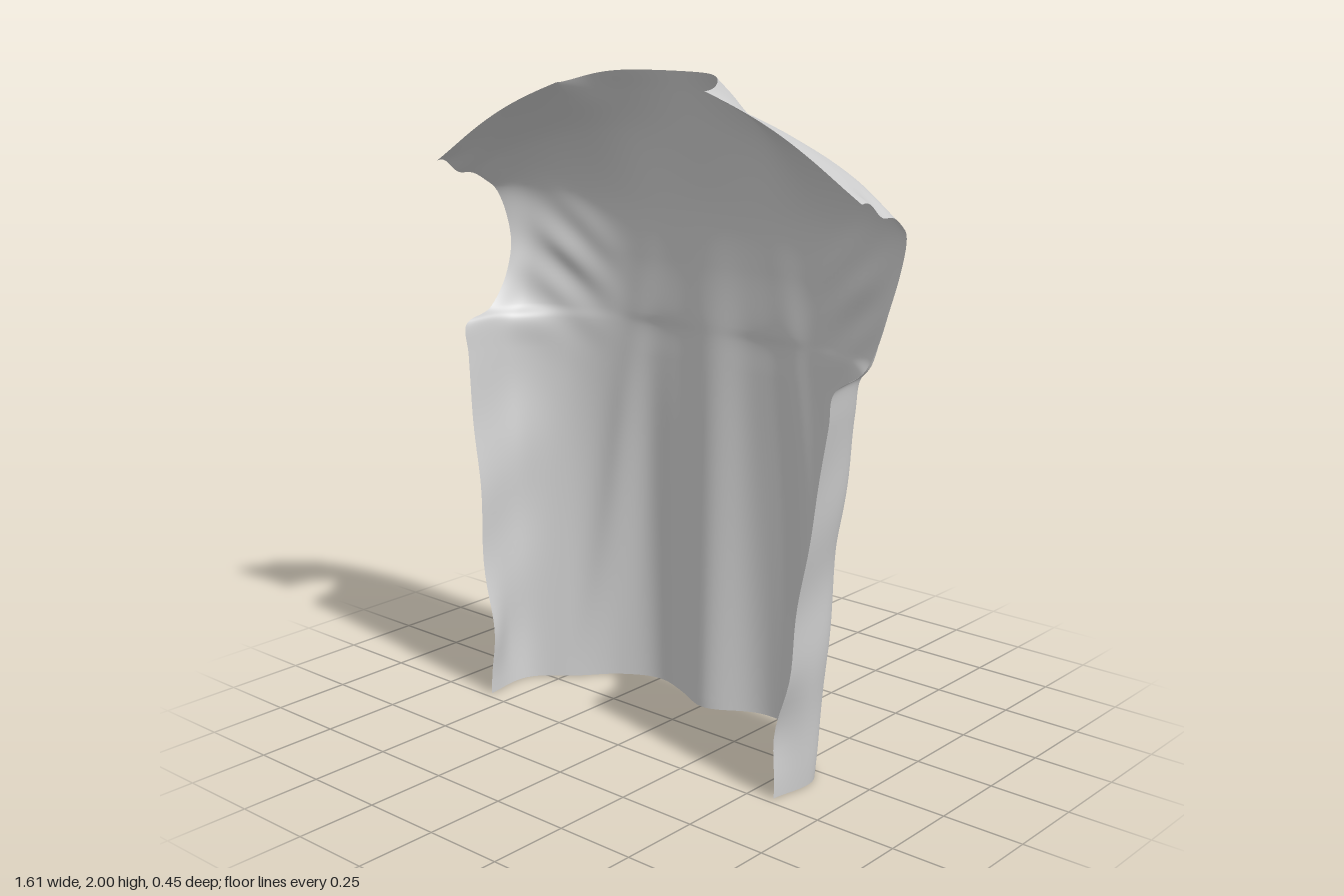
import * as THREE from 'three';

const V = (x, y, z) => new THREE.Vector3(x, y, z);
const spline = pts => new THREE.CatmullRomCurve3(pts, false, 'centripetal');
const bump = (x, centre, width) => Math.exp(-(((x - centre) / width) ** 2));

// Level half section: (x, z) pairs from the centre back round to the side edge
const level = (y, pts) => pts.map(([x, z]) => V(x, y, z));
// Section between two others; height may run at its own pace, bulge pushes it out and back
const between = (a, b, t, ty = t, bulge = 0) => a.map((p, k) => {
  const q = p.clone().lerp(b[k], t);
  const swell = bulge * Math.sin(Math.PI * Math.min(1, (k + 0.15) / 5.6));
  return V(q.x + swell * 0.5, THREE.MathUtils.lerp(p.y, b[k].y, ty), q.z - swell);
});

// Main half sections
const hem = level(0, [[0, -0.14], [0.22, -0.225], [0.38, -0.17], [0.5, -0.05], [0.59, 0.06], [0.58, 0.225]]);
const underarm = level(1.19, [[0, -0.18], [0.22, -0.205], [0.38, -0.185], [0.56, -0.12], [0.68, 0], [0.715, 0.17]]);
const armhole = level(1.41, [[0, -0.18], [0.22, -0.19], [0.4, -0.183], [0.57, -0.142], [0.68, -0.1], [0.74, -0.057]]);
const blade = level(1.6, [[0, -0.16], [0.22, -0.167], [0.42, -0.16], [0.58, -0.135], [0.7, -0.095], [0.79, -0.04]]);

// Top edge, s = 0..5: neckline as half an ellipse up to 2, then the arched shoulder seam
function topEdge(s) {
  if (s < 2) {
    const a = s * Math.PI / 4;
    return V(0.28 * Math.sin(a), 2 - 0.035 * Math.sin(a) ** 6, 0.19 - 0.203 * Math.cos(a));
  }
  const t = (s - 2) / 3;
  return V(0.28 + 0.525 * t, 1.965 - 0.265 * t + 0.028 * Math.sin(Math.PI * t), 0.19);
}
const top = [0, 1, 2, 3, 4, 5].map(topEdge);

const sections = [
  hem, between(hem, underarm, 0.33), between(hem, underarm, 0.67), between(hem, underarm, 0.92), underarm,
  between(underarm, armhole, 0.55, 0.2), armhole, blade,
  between(blade, top, 0.5, 0.54, 0.065), between(blade, top, 0.8, 0.83, 0.04),
];

// Soft cloth folds added to the smooth surface
function addFolds(p) {
  const ax = Math.abs(p.x), side = Math.sign(p.x);
  const low = 1 - THREE.MathUtils.smoothstep(p.y, 0.9, 1.6);
  // Hanging folds across the back
  p.z += 0.005 * Math.sin(p.x * 30 + p.y * 0.6 + 0.8) * low * bump(ax, 0.15, 0.25);
  // Long fold sweeping from the hem corner up towards the shoulder blade
  p.z += 0.02 * bump(ax, 0.46 - 0.13 * p.y, 0.06) * low;
  // Creases fanning out from the underarm
  p.z += 0.007 * Math.sin((p.y - 0.75 * ax) * 40) * bump(p.y, 1.36, 0.17) * bump(ax, 0.58, 0.12);
  // Side wall: slight waist, shallow ripples, and front edge curled in above the hem
  const wall = bump(ax, 0.64, 0.06) * low;
  const curl = bump(p.y, 0.2, 0.13) * THREE.MathUtils.smoothstep(p.z, 0.1, 0.22);
  p.x += side * wall * (0.005 * Math.sin(p.y * 15 + p.z * 9 + side) - 0.013 * bump(p.y, 0.65, 0.3));
  p.x -= side * 0.03 * curl;
  // Puckers at the sleeve end
  p.y += 0.012 * Math.sin(p.z * 48) * bump(ax, 0.82, 0.07) * bump(p.y, 1.69, 0.06);
  // Keep the seam and the hem flat
  if (p.y > 1.65) p.z = Math.min(p.z, 0.19);
  p.y = THREE.MathUtils.clamp(p.y, 0, 2);
  return p;
}

export function createModel() {
  const group = new THREE.Group();
  const cols = 120, rows = 110;

  // Mirror each half section, then loft smoothly through them to the top edge
  const across = sections.map(half => {
    const mirrored = half.slice(1).reverse().map(p => V(-p.x, p.y, p.z));
    return spline([...mirrored, ...half]);
  });
  const positions = [], index = [];
  for (let i = 0; i <= cols; i++) {
    const u = i / cols, s = u * 10 - 5;
    const end = topEdge(Math.abs(s));
    end.x *= Math.sign(s);
    const column = spline([...across.map(c => c.getPoint(u)), end]);
    for (let j = 0; j <= rows; j++) {
      positions.push(...addFolds(column.getPoint(j / rows)).toArray());
      if (i < cols && j < rows) {
        const a = i * (rows + 1) + j, b = a + rows + 1;
        index.push(a, a + 1, b, b, a + 1, b + 1);
      }
    }
  }
  const geometry = new THREE.BufferGeometry();
  geometry.setAttribute('position', new THREE.Float32BufferAttribute(positions, 3));
  geometry.setIndex(index);
  geometry.computeVertexNormals();

  const panel = new THREE.Mesh(geometry, new THREE.MeshStandardMaterial({ color: 0xcccccc, side: THREE.DoubleSide }));
  panel.name = 'garmentBackPanel';
  group.add(panel);
  return group;
}
